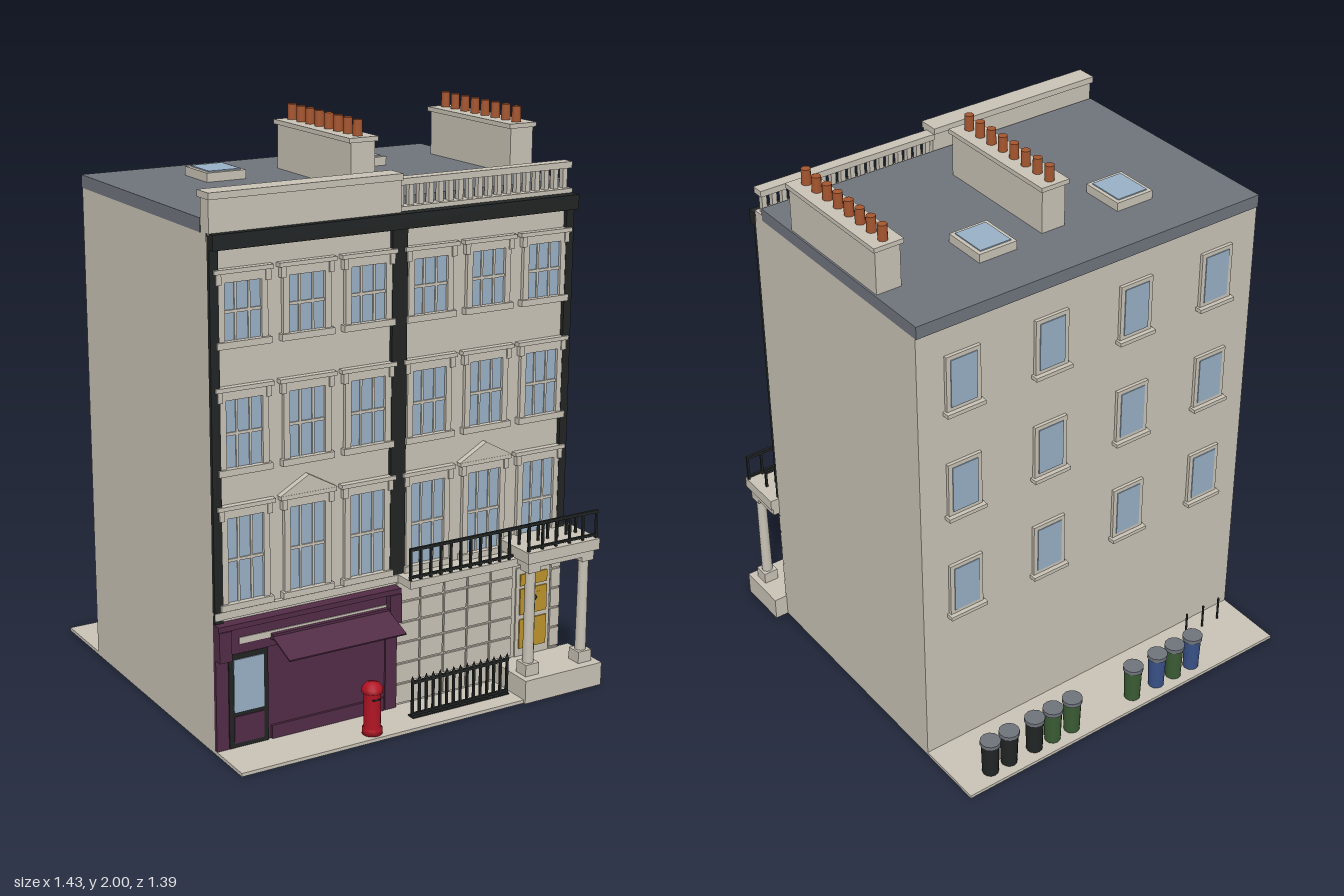
import * as THREE from 'three';

const COLORS = {
  stone: 0xc9c3b6, slate: 0x6f747c, black: 0x222525, glass: 0x98b0c6, plum: 0x522c46,
  red: 0xb01424, gold: 0xbc942c, terracotta: 0xa5562f, green: 0x3b5c34, blue: 0x3a5288,
};

export function createModel() {
  const model = new THREE.Group();
  model.name = 'townhouses';
  const mats = {};
  for (const [name, color] of Object.entries(COLORS)) {
    mats[name] = new THREE.MeshStandardMaterial({ color });
    mats[name].name = name;
  }

  const add = (parent, name, mat, geo, x = 0, y = 0, z = 0) => {
    const m = new THREE.Mesh(geo, mats[mat]);
    m.name = name;
    m.position.set(x, y, z);
    parent.add(m);
    return m;
  };
  // Box given by its limits on each axis
  const box = (parent, name, mat, x0, x1, y0, y1, z0, z1) =>
    add(parent, name, mat, new THREE.BoxGeometry(x1 - x0, y1 - y0, z1 - z0),
      (x0 + x1) / 2, (y0 + y1) / 2, (z0 + z1) / 2);
  // Upright cylinder standing on y0
  const post = (parent, name, mat, x, z, y0, y1, r0, r1 = r0, sides = 12) =>
    add(parent, name, mat, new THREE.CylinderGeometry(r1, r0, y1 - y0, sides), x, (y0 + y1) / 2, z);
  const group = (name, parent = model) => {
    const g = new THREE.Group();
    g.name = name;
    parent.add(g);
    return g;
  };

  const L = -0.715, M = -0.025, R = 0.665, F = 0.495, B = -0.445;

  // Main masses
  box(model, 'pavement', 'stone', L, R, 0, 0.012, -0.703, 0.683);
  box(model, 'walls', 'stone', L, R, 0.012, 1.73, B, F);
  box(model, 'roof', 'slate', L, R, 1.73, 1.775, B - 0.006, 0.45);

  // Black pilasters and cornice
  box(model, 'leftPilaster', 'black', L, L + 0.031, 0.46, 1.69, F, 0.51);
  box(model, 'middlePilaster', 'black', -0.055, 0.002, 0.5, 1.69, F, 0.51);
  box(model, 'rightPilaster', 'black', R - 0.031, R, 0.5, 1.69, F, 0.51);
  box(model, 'cornice', 'black', L, R, 1.685, 1.735, F - 0.005, 0.535);

  // Solid parapet on one house, balustrade on the other
  box(model, 'parapet', 'stone', L, M, 1.73, 1.84, 0.455, 0.51);
  box(model, 'parapetCoping', 'stone', L - 0.004, M + 0.002, 1.84, 1.862, 0.442, 0.518);
  const balustrade = group('balustrade');
  box(balustrade, 'bottomRail', 'stone', M, R, 1.73, 1.75, 0.45, 0.495);
  box(balustrade, 'topRail', 'stone', M, R, 1.818, 1.84, 0.446, 0.49);
  for (let i = 0; i < 18; i++) {
    const x = M + 0.02 + i * 0.0383;
    box(balustrade, 'baluster', 'stone', x - 0.009, x + 0.009, 1.75, 1.818, 0.458, 0.478);
  }

  // Chimneys with eight pots each
  for (const x of [-0.024, 0.612]) {
    const c = group('chimney');
    box(c, 'stack', 'stone', x - 0.046, x + 0.046, 1.76, 1.93, -0.228, 0.27);
    box(c, 'stackCap', 'stone', x - 0.055, x + 0.055, 1.93, 1.946, -0.238, 0.277);
    for (let i = 0; i < 8; i++) post(c, 'pot', 'terracotta', x, -0.204 + i * 0.0627, 1.945, 2, 0.017, 0.016, 10);
  }

  // Skylights
  for (const x of [-0.339, 0.219]) {
    box(model, 'skylightFrame', 'stone', x - 0.074, x + 0.074, 1.77, 1.806, -0.26, -0.095);
    box(model, 'skylightGlass', 'glass', x - 0.06, x + 0.06, 1.804, 1.81, -0.246, -0.109);
  }

  // Front sash windows: glass bottom, glass top
  const triangle = new THREE.Shape([[-0.107, 0], [0.107, 0], [0, 0.06]].map(p => new THREE.Vector2(...p)));
  const frontWindow = (x, y0, y1, pediment) => {
    const w = group('frontWindow');
    box(w, 'glass', 'glass', x - 0.067, x + 0.067, y0, y1, F, F + 0.003);
    for (const s of [-1, 1]) {
      box(w, 'jamb', 'stone', x + s * 0.076 - 0.011, x + s * 0.076 + 0.011, y0, y1, F, 0.509);
      box(w, 'glazingBar', 'stone', x + s * 0.024 - 0.004, x + s * 0.024 + 0.004, y0, y1, F, 0.502);
      box(w, 'bracket', 'stone', x + s * 0.087 - 0.009, x + s * 0.087 + 0.009, y1 - 0.005, y1 + 0.03, F, 0.514);
    }
    const mid = (y0 + y1) / 2;
    box(w, 'meetingRail', 'stone', x - 0.067, x + 0.067, mid - 0.005, mid + 0.005, F, 0.503);
    box(w, 'lintel', 'stone', x - 0.087, x + 0.087, y1, y1 + 0.03, F, 0.509);
    box(w, 'hood', 'stone', x - 0.104, x + 0.104, y1 + 0.03, y1 + 0.044, F, 0.518);
    box(w, 'sill', 'stone', x - 0.096, x + 0.096, y0 - 0.022, y0, F, 0.518);
    if (pediment) add(w, 'pediment', 'stone',
      new THREE.ExtrudeGeometry(triangle, { depth: 0.022, bevelEnabled: false }), x, y1 + 0.044, F);
  };
  [-0.598, -0.37, -0.143, 0.095, 0.323, 0.55].forEach((x, i) => {
    frontWindow(x, 1.39, 1.576, false);
    frontWindow(x, 0.976, 1.2, false);
    frontWindow(x, 0.522, 0.81, i % 3 === 1);
  });

  // Back windows
  for (const x of [-0.542, -0.196, 0.15, 0.496]) for (const y of [0.585, 1.0, 1.41]) {
    const w = group('backWindow');
    box(w, 'frame', 'stone', x - 0.066, x + 0.066, y + 0.012, y + 0.218, B - 0.012, B);
    box(w, 'glass', 'glass', x - 0.05, x + 0.05, y + 0.028, y + 0.203, B - 0.015, B - 0.01);
    box(w, 'sill', 'stone', x - 0.074, x + 0.074, y, y + 0.014, B - 0.028, B);
  }

  // Shopfront
  const shop = group('shopfront');
  box(shop, 'shopPanel', 'plum', L, M, 0.012, 0.45, F, 0.503);
  box(shop, 'shopCornice', 'plum', L, M, 0.44, 0.458, F, 0.535);
  box(shop, 'fascia', 'plum', L + 0.045, M - 0.045, 0.345, 0.44, F, 0.512);
  for (const x of [L, M - 0.045]) {
    box(shop, 'shopPilaster', 'plum', x, x + 0.045, 0.012, 0.335, F, 0.51);
    box(shop, 'corbel', 'plum', x, x + 0.045, 0.335, 0.44, F, 0.54);
  }
  box(shop, 'signStrip', 'stone', -0.63, -0.07, 0.378, 0.4, 0.51, 0.515);
  box(shop, 'stallRiser', 'plum', -0.51, -0.075, 0.012, 0.06, F, 0.512);
  box(shop, 'shopDoor', 'black', -0.67, -0.525, 0.014, 0.345, F, 0.514);
  box(shop, 'shopDoorGlass', 'glass', -0.652, -0.542, 0.14, 0.326, 0.51, 0.517);
  box(shop, 'shopDoorPanel', 'plum', -0.652, -0.542, 0.03, 0.125, 0.51, 0.517);
  box(shop, 'awningRoller', 'plum', -0.515, -0.07, 0.372, 0.392, 0.51, 0.53);
  const awning = add(shop, 'awning', 'plum', new THREE.BoxGeometry(0.445, 0.006, 0.134), -0.2925, 0.363, 0.578);
  awning.rotation.x = Math.atan2(0.046, 0.125);

  // String course and rusticated ground floor
  box(model, 'stringCourse', 'stone', L, M, 0.472, 0.497, F, 0.512);
  const blocks = group('rusticatedBlocks');
  for (let row = 0; row < 6; row++) {
    const y = 0.02 + row * 0.075;
    for (let x = M + 0.004; x < 0.46; x += 0.097)
      box(blocks, 'block', 'stone', x, Math.min(x + 0.09, 0.47), y, y + 0.068, F, 0.502);
    box(blocks, 'block', 'stone', 0.625, R, y, y + 0.068, F, 0.502);
  }

  // Front door
  const door = group('frontDoor');
  box(door, 'doorSurround', 'stone', 0.475, 0.62, 0.085, 0.42, F, 0.501);
  [[0.115, 0.225], [0.243, 0.34], [0.352, 0.395]].forEach(([y0, y1]) => {
    box(door, 'doorPanel', 'gold', 0.49, 0.544, y0, y1, 0.5, 0.506);
    box(door, 'doorPanel', 'gold', 0.551, 0.605, y0, y1, 0.5, 0.506);
  });
  box(door, 'doorRail', 'gold', 0.52, 0.575, 0.285, 0.32, 0.5, 0.507);
  add(door, 'knocker', 'black', new THREE.SphereGeometry(0.01, 10, 8), 0.548, 0.302, 0.509);

  // Black railing along x with spaced uprights
  const railing = (name, x0, x1, y0, y1, z, n, spikes) => {
    const g = group(name);
    const drop = spikes ? 0.02 : 0;
    box(g, 'topRail', 'black', x0, x1, y1 - drop - 0.01, y1 - drop, z - 0.005, z + 0.005);
    box(g, 'bottomRail', 'black', x0, x1, y0 + 0.008, y0 + 0.016, z - 0.005, z + 0.005);
    for (let i = 0; i <= n; i++) {
      const x = x0 + 0.004 + (x1 - x0 - 0.008) * i / n;
      box(g, 'upright', 'black', x - 0.004, x + 0.004, y0, y1 - drop, z - 0.004, z + 0.004);
      if (spikes) post(g, 'spike', 'black', x, z, y1 - drop, y1, 0.007, 0, 6);
    }
  };

  // Balcony and porch
  box(model, 'balcony', 'stone', M, R, 0.472, 0.5, F, 0.592);
  railing('balconyRailing', M, R, 0.5, 0.615, 0.585, 17, false);
  const porch = group('porch');
  box(porch, 'porchStep', 'stone', 0.388, 0.715, 0, 0.085, F, 0.692);
  box(porch, 'porchBeam', 'stone', 0.41, 0.69, 0.482, 0.508, F, 0.657);
  box(porch, 'porchRoof', 'stone', 0.395, 0.698, 0.508, 0.548, F, 0.677);
  for (const x of [0.437, 0.664]) {
    box(porch, 'columnPlinth', 'stone', x - 0.028, x + 0.028, 0.085, 0.128, 0.605, 0.661);
    post(porch, 'column', 'stone', x, 0.633, 0.128, 0.465, 0.02, 0.018);
    box(porch, 'capital', 'stone', x - 0.025, x + 0.025, 0.465, 0.483, 0.608, 0.657);
  }
  railing('porchRailing', 0.402, 0.695, 0.548, 0.65, 0.662, 5, false);
  railing('areaRailing', M, 0.372, 0.012, 0.165, 0.606, 14, true);
  box(model, 'areaGrating', 'black', M, 0.372, 0.012, 0.016, 0.585, 0.618);

  // Pillar box
  const profile = [[0, 0], [0.035, 0], [0.035, 0.02], [0.029, 0.024], [0.029, 0.145], [0.036, 0.15],
    [0.036, 0.165], [0.024, 0.18], [0, 0.187]].map(p => new THREE.Vector2(...p));
  add(model, 'pillarBox', 'red', new THREE.LatheGeometry(profile, 16), -0.2, 0.012, 0.638);
  box(model, 'letterSlot', 'black', -0.214, -0.186, 0.138, 0.143, 0.66, 0.669);

  // Bins and bollards behind the house
  const bins = [[0.54, 'black'], [0.46, 'black'], [0.35, 'black'], [0.27, 'green'], [0.185, 'green'],
    [-0.092, 'green'], [-0.204, 'blue'], [-0.285, 'green'], [-0.37, 'blue']];
  for (const [x, color] of bins) {
    post(model, 'bin', color, x, -0.645, 0.012, 0.14, 0.029, 0.033);
    post(model, 'binLid', 'slate', x, -0.645, 0.14, 0.156, 0.037);
  }
  for (const x of [-0.62, -0.545, -0.465]) post(model, 'bollard', 'black', x, -0.508, 0.012, 0.11, 0.004, 0.004, 8);

  return model;
}
